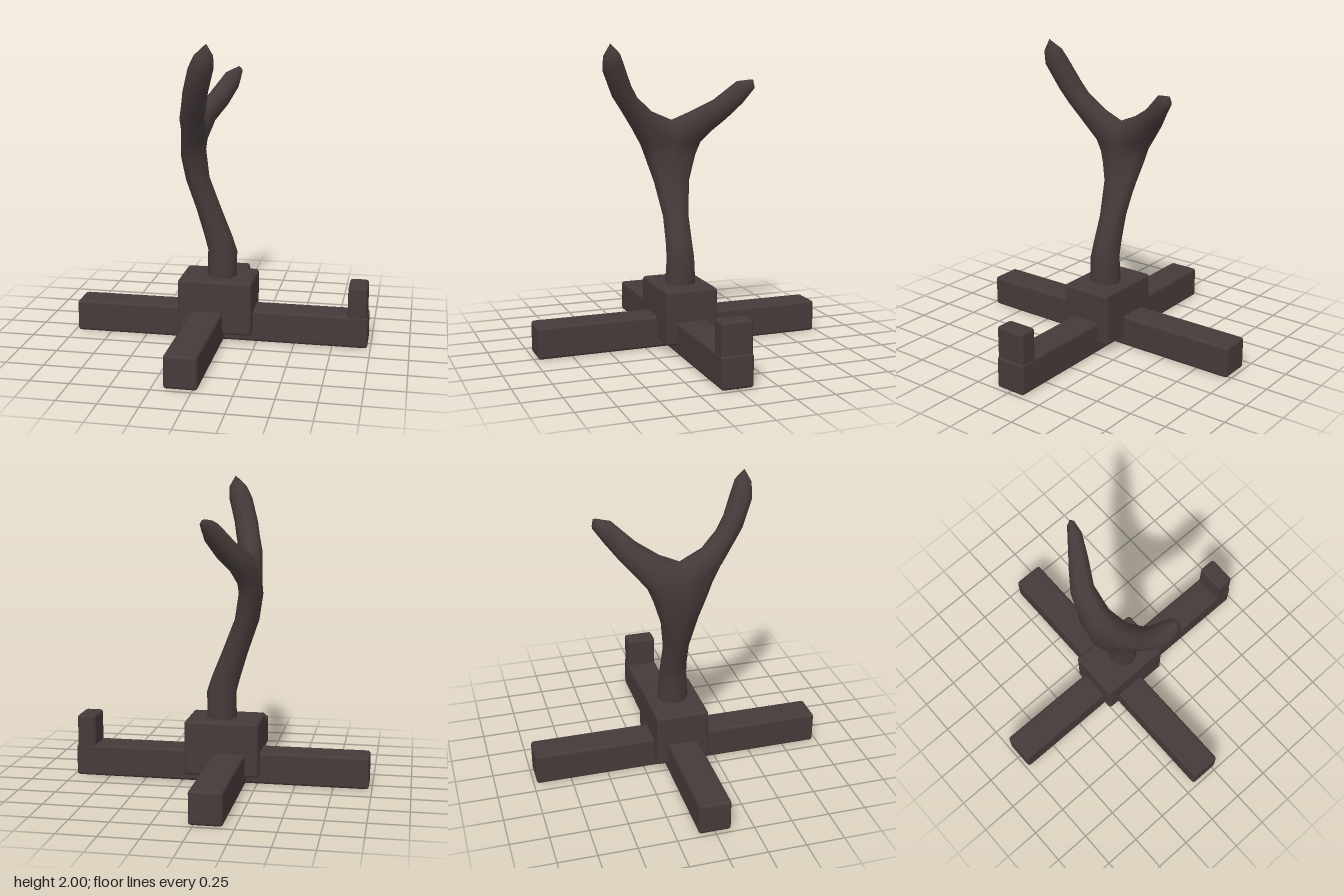
import * as THREE from 'three';
import { RoundedBoxGeometry } from 'three/addons/geometries/RoundedBoxGeometry.js';

const SIDES = 8;

// Forked stem: eight-sided rings that split at the crotch into two branches
function forkedStemGeometry() {
  const pos = [], index = [];
  const vertex = (x, y, z) => pos.push(x, y, z) / 3 - 1;

  // Elliptical ring: p and q are opposite [z, y] points, w is the half width in x
  const ring = ([x, w, p, q]) => Array.from({ length: SIDES }, (_, i) => {
    const a = (i / SIDES) * Math.PI * 2, s = Math.sin(a) / 2;
    return vertex(x + Math.cos(a) * w,
      (p[1] + q[1]) / 2 + s * (p[1] - q[1]),
      (p[0] + q[0]) / 2 + s * (p[0] - q[0]));
  });
  const join = (lo, hi) => {
    for (let i = 0; i < SIDES; i++) {
      const j = (i + 1) % SIDES;
      index.push(lo[i], hi[i], lo[j], lo[j], hi[i], hi[j]);
    }
  };
  const loft = (start, rings) => rings.reduce((lo, r) => {
    const hi = ring(r);
    join(lo, hi);
    return hi;
  }, start);
  const cap = (loop, tip) => loop.forEach((v, i) => index.push(v, tip, loop[(i + 1) % SIDES]));

  // Trunk: [x, half width, y, half depth]
  const trunk = [
    [0, 0.1, 0.4, 0.108], [0.004, 0.098, 0.59, 0.097], [-0.025, 0.095, 0.69, 0.092],
    [-0.085, 0.086, 0.86, 0.09], [-0.165, 0.081, 1.08, 0.125],
    [-0.19, 0.081, 1.25, 0.18], [-0.182, 0.082, 1.33, 0.212],
  ].map(([x, w, y, d]) => [x, w, [d, y], [-d, y]]);
  const top = loft(ring(trunk[0]), trunk.slice(1));

  // Crotch: three saddle points shared by both branch roots
  const saddle = [[-0.23, 1.455], [-0.165, 1.49], [-0.105, 1.455]].map(([x, y]) => vertex(x, y, 0));
  const frontRoot = [...top.slice(0, 5), ...saddle];
  const backRoot = [top[0], saddle[2], saddle[1], saddle[0], ...top.slice(4)];

  // Tall front branch
  cap(loft(frontRoot, [
    [-0.155, 0.08, [0.285, 1.45], [0.14, 1.55]],
    [-0.122, 0.08, [0.36, 1.56], [0.25, 1.645]],
    [-0.1, 0.08, [0.43, 1.66], [0.3, 1.725]],
    [-0.05, 0.08, [0.507, 1.83], [0.365, 1.87]],
    [-0.03, 0.06, [0.507, 1.92], [0.395, 1.935]],
  ]), vertex(-0.01, 2, 0.465));

  // Short back branch
  cap(loft(backRoot, [
    [-0.15, 0.08, [-0.13, 1.545], [-0.27, 1.4]],
    [-0.08, 0.077, [-0.26, 1.62], [-0.36, 1.495]],
    [-0.01, 0.057, [-0.4, 1.745], [-0.445, 1.6]],
    [0.022, 0.027, [-0.485, 1.757], [-0.512, 1.695]],
  ]), vertex(0.022, 1.757, -0.505));

  const geometry = new THREE.BufferGeometry();
  geometry.setAttribute('position', new THREE.Float32BufferAttribute(pos, 3));
  geometry.setIndex(index);
  geometry.computeVertexNormals();
  return geometry;
}

export function createModel() {
  const group = new THREE.Group();
  const wood = new THREE.MeshStandardMaterial({ color: 0x463a3a });
  wood.name = 'darkWood';

  const add = (name, geometry) => {
    const mesh = new THREE.Mesh(geometry, wood);
    mesh.name = name;
    group.add(mesh);
    return mesh;
  };
  // Rounded block given by its lower and upper corners
  const block = (name, lo, hi) => {
    const [w, h, d] = hi.map((v, i) => v - lo[i]);
    add(name, new RoundedBoxGeometry(w, h, d, 2, 0.02))
      .position.set(...hi.map((v, i) => (v + lo[i]) / 2));
  };

  // Crossed feet, central socket and end peg
  block('sideBeam', [-0.98, 0, -0.105], [0.98, 0.212, 0.105]);
  block('frontBackBeam', [-0.178, 0, -0.98], [0.032, 0.212, 0.975]);
  block('socketBlock', [-0.268, 0.06, -0.178], [0.224, 0.422, 0.176]);
  block('endPeg', [0.847, 0.19, -0.102], [0.972, 0.415, 0.102]);

  add('forkedStem', forkedStemGeometry());
  return group;
}
